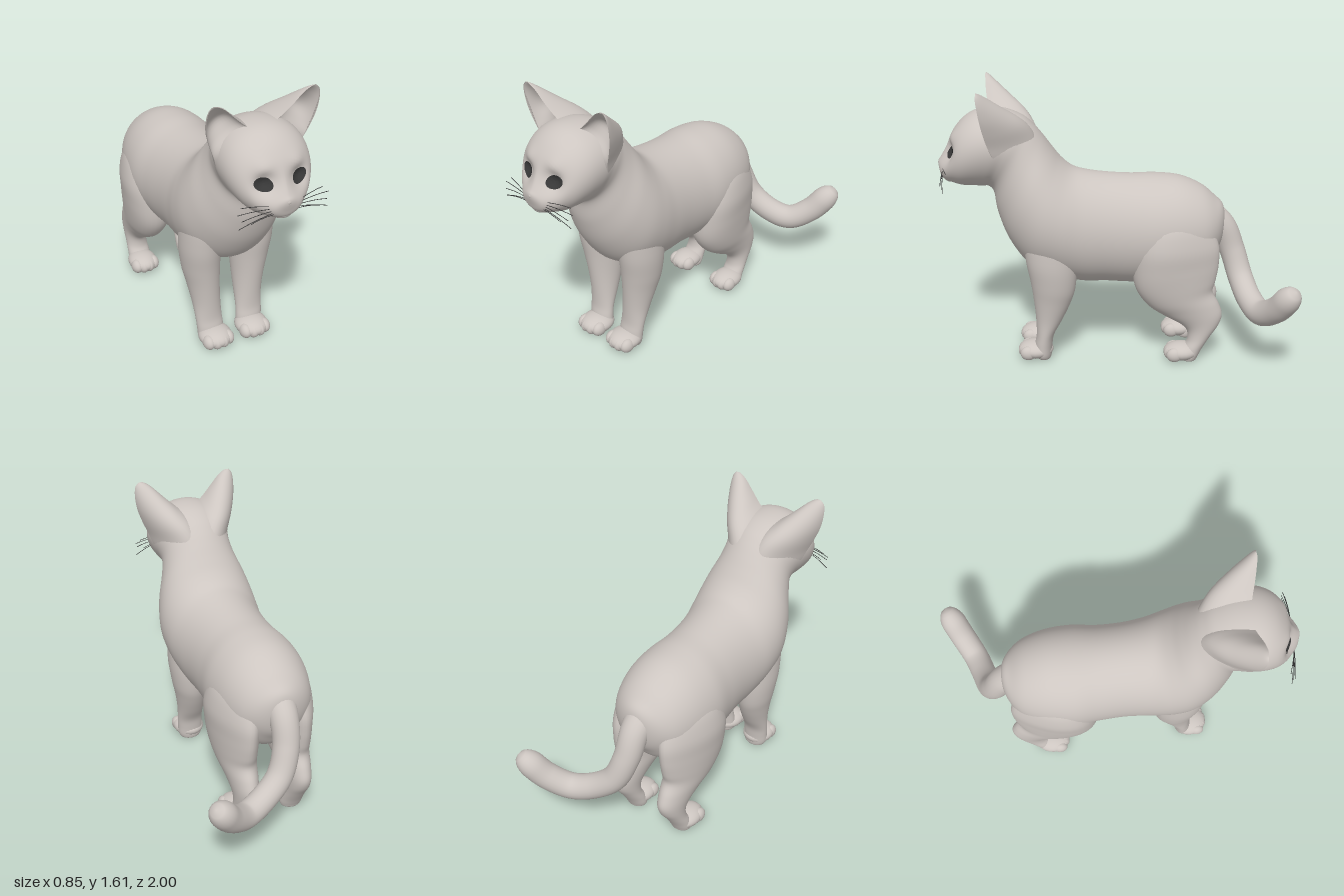
import * as THREE from 'three';
import { mergeVertices } from 'three/addons/utils/BufferGeometryUtils.js';

const fur = new THREE.MeshStandardMaterial({ color: 0xcdc6c1, side: THREE.DoubleSide });
fur.name = 'warm grey fur';
const dark = new THREE.MeshStandardMaterial({ color: 0x383838, side: THREE.DoubleSide });
dark.name = 'dark grey';

const HEAD_X = -0.1, CHEST_X = -0.113, HIP_X = -0.128;

// Smoothly resample rows of numbers, n steps between neighbours
function resample(rows, n) {
  const out = [], last = rows.length - 1;
  const at = (i) => rows[Math.min(last, Math.max(0, i))];
  for (let k = 0; k <= last * n; k++) {
    const i = Math.min(last - 1, Math.floor(k / n)), t = k / n - i;
    out.push(at(i).map((p1, c) => {
      const p0 = at(i - 1)[c], p2 = at(i + 1)[c], p3 = at(i + 2)[c];
      const m1 = (p2 - p0) / 2, m2 = (p3 - p1) / 2;
      return p1 + m1 * t + (3 * (p2 - p1) - 2 * m1 - m2) * t * t + (2 * (p1 - p2) + m1 + m2) * t * t * t;
    }));
  }
  return out;
}

// Skin a list of closed rings of points
function skin(rings) {
  const pos = [], idx = [], n = rings[0].length;
  rings.forEach((ring, i) => ring.forEach((p, j) => {
    pos.push(...p);
    if (i < rings.length - 1) {
      const a = i * n + j, b = i * n + (j + 1) % n;
      idx.push(a, b, a + n, b, b + n, a + n);
    }
  }));
  const geo = new THREE.BufferGeometry();
  geo.setAttribute('position', new THREE.Float32BufferAttribute(pos, 3));
  geo.setIndex(idx);
  geo.computeVertexNormals();
  return geo;
}

// Oval rings from rows [x, zA, yA, zB, yB, halfWidth, taper]; A and B are opposite ends, taper widens the A end
function loft(rows, steps = 5, seg = 48) {
  return skin(resample(rows, steps).map(([x, zA, yA, zB, yB, w, taper]) =>
    Array.from({ length: seg }, (_, j) => {
      const a = j / seg * Math.PI * 2, s = Math.sin(a);
      return [x + Math.cos(a) * Math.max(0, w) * (1 + taper * s),
        (yA + yB + s * (yA - yB)) / 2, (zA + zB + s * (zA - zB)) / 2];
    })));
}

export function createModel() {
  const cat = new THREE.Group();
  cat.name = 'cat';
  const add = (name, geo, mat = fur) => {
    const m = new THREE.Mesh(geo, mat);
    m.name = name;
    cat.add(m);
    return m;
  };
  const blob = (name, x, y, z, rx, ry, rz) => {
    const m = add(name, new THREE.SphereGeometry(1, 24, 16));
    m.position.set(x, y, z);
    m.scale.set(rx, ry, rz);
  };

  // Rump, torso, neck and head in one skin, rear to nose: [top z,y, bottom z,y, half width]
  const bodyGeo = loft([
    [-0.625, 0.80, -0.625, 0.80, 0],
    [-0.61, 0.90, -0.60, 0.68, 0.09],
    [-0.56, 0.955, -0.56, 0.61, 0.165],
    [-0.48, 1.02, -0.50, 0.53, 0.22],
    [-0.36, 1.07, -0.38, 0.48, 0.26],
    [-0.22, 1.085, -0.22, 0.45, 0.277],
    [-0.08, 1.085, -0.08, 0.445, 0.262],
    [0.06, 1.095, 0.06, 0.455, 0.258],
    [0.18, 1.113, 0.20, 0.46, 0.27],
    [0.25, 1.135, 0.36, 0.50, 0.288],
    [0.31, 1.185, 0.50, 0.57, 0.29],
    [0.36, 1.25, 0.61, 0.72, 0.265],
    [0.41, 1.32, 0.67, 0.88, 0.225],
    [0.46, 1.38, 0.69, 1.0, 0.205],
    [0.52, 1.43, 0.72, 1.035, 0.212],
    [0.62, 1.468, 0.75, 1.035, 0.226],
    [0.74, 1.472, 0.80, 1.04, 0.225],
    [0.83, 1.435, 0.86, 1.042, 0.204],
    [0.90, 1.36, 0.91, 1.055, 0.165],
    [0.945, 1.27, 0.945, 1.065, 0.118],
    [0.98, 1.205, 0.972, 1.085, 0.075],
    [0.995, 1.18, 0.985, 1.12, 0.035],
    [0.995, 1.155, 0.995, 1.155, 0],
  ].map((row) => [
    HIP_X + (HEAD_X - HIP_X) * THREE.MathUtils.smoothstep(row[0], -0.3, 0.5),
    ...row,
    0.14 * Math.exp(-(((row[0] - 0.58) / 0.2) ** 2)), // the skull is wider above than below
  ]), 6, 64);
  // Press in the eye sockets and raise the brows
  const p = bodyGeo.attributes.position;
  for (let i = 0; i < p.count; i++) {
    if (p.getZ(i) < 0.78) continue;
    const dx = Math.abs(p.getX(i) - HEAD_X) - 0.093, y = p.getY(i);
    const bump = (h, size) => Math.exp(-(dx * dx + (y - h) ** 2) / size);
    p.setZ(i, p.getZ(i) - 0.046 * bump(1.25, 0.0036) + 0.012 * bump(1.325, 0.002));
  }
  bodyGeo.computeVertexNormals();
  const body = add('body', bodyGeo);

  // Muzzle
  blob('nose', HEAD_X, 1.168, 0.973, 0.024, 0.02, 0.024);
  blob('chin', HEAD_X, 1.087, 0.928, 0.055, 0.032, 0.042);

  const ray = new THREE.Raycaster();
  for (const s of [1, -1]) {
    const side = s > 0 ? 'left' : 'right';
    const named = (part) => side + part;

    blob(named('WhiskerPad'), HEAD_X + s * 0.036, 1.127, 0.938, 0.05, 0.036, 0.042);

    // Eye: thin almond plate that follows the face
    const eye = new THREE.RingGeometry(0.001, 1, 28, 5);
    const e = eye.attributes.position;
    for (let i = 0; i < e.count; i++) {
      const u = e.getX(i), v = e.getY(i);
      const x = HEAD_X + s * 0.0985 + u * 0.045, y = 1.25 + v * 0.035 + s * u * 0.004;
      ray.set(new THREE.Vector3(x, y, 2), new THREE.Vector3(0, 0, -1));
      const hit = ray.intersectObject(body)[0];
      e.setXYZ(i, x, y, (hit ? hit.point.z : 0.89) + 0.006);
    }
    eye.computeVertexNormals();
    add(named('Eye'), eye, dark);

    // Whiskers: [tip offset, tip height, tip depth]
    [[0.225, 1.16, 0.925], [0.25, 1.135, 0.94], [0.235, 1.105, 0.955], [0.245, 1.058, 0.945], [0.19, 1.085, 0.965]]
      .forEach(([x, y, z], i) => {
        const root = new THREE.Vector3(HEAD_X + s * 0.06, 1.145 - i * 0.01, 0.965);
        const tip = new THREE.Vector3(HEAD_X + s * x, y, z);
        const mid = root.clone().lerp(tip, 0.5).add(new THREE.Vector3(0, 0.016, 0.006));
        add(named('Whisker'), new THREE.TubeGeometry(new THREE.QuadraticBezierCurve3(root, mid, tip), 10, 0.0017, 5), dark);
      });

    // Ear: rows [inner x,y,z, outer x,y,z, back bulge, front hollow], tucked into the cheek at the bottom
    add(named('Ear'), skin(resample([
      [0.0, 1.28, 0.66, 0.14, 1.12, 0.60, 0.18, 0.0],
      [0.02, 1.37, 0.69, 0.212, 1.225, 0.655, 0.235, -0.02],
      [0.06, 1.44, 0.71, 0.245, 1.31, 0.69, 0.235, 0.0],
      [0.115, 1.49, 0.722, 0.275, 1.385, 0.708, 0.2, 0.055],
      [0.165, 1.54, 0.732, 0.298, 1.46, 0.722, 0.135, 0.085],
      [0.212, 1.588, 0.738, 0.306, 1.535, 0.733, 0.068, 0.04],
      [0.25, 1.612, 0.742, 0.299, 1.59, 0.74, 0.026, 0.01],
      [0.278, 1.616, 0.738, 0.278, 1.616, 0.738, 0, 0],
    ], 5).map(([ix, iy, iz, ox, oy, oz, back, dish]) => Array.from({ length: 36 }, (_, j) => {
      const a = j / 36 * Math.PI * 2, c = Math.cos(a) / 2, sn = Math.sin(a), d = Math.abs(sn) * (sn > 0 ? back : dish);
      return [HEAD_X + s * ((ix + ox) / 2 + c * (ox - ix) - d * 0.22), (iy + oy) / 2 + c * (oy - iy), (iz + oz) / 2 + c * (oz - iz) - d];
    }))));

    // Legs: rows [side offset, front z,y, back z,y, half width, optional taper], top to bottom
    const leg = (name, cx, rows) =>
      add(name, loft(rows.map(([x, zA, yA, zB, yB, w, taper = 0]) => [cx + s * x, zA, yA, zB, yB, w, taper]), 5, 36));
    leg(named('FrontLeg'), CHEST_X, [
      [0.14, 0.40, 0.95, 0.36, 0.95, 0],
      [0.15, 0.52, 0.83, 0.24, 0.83, 0.092],
      [0.156, 0.515, 0.65, 0.225, 0.62, 0.108],
      [0.148, 0.49, 0.50, 0.235, 0.46, 0.102],
      [0.138, 0.475, 0.38, 0.265, 0.36, 0.09],
      [0.129, 0.466, 0.26, 0.315, 0.25, 0.08],
      [0.125, 0.465, 0.16, 0.362, 0.16, 0.077],
      [0.121, 0.475, 0.10, 0.375, 0.09, 0.077],
      [0.118, 0.48, 0.04, 0.38, 0.03, 0.074],
      [0.118, 0.46, 0.004, 0.39, 0.004, 0.05],
      [0.118, 0.42, 0.004, 0.42, 0.004, 0],
    ]);
    leg(named('HindLeg'), HIP_X, [
      [0.08, -0.28, 0.99, -0.36, 0.99, 0],
      [0.125, -0.15, 0.87, -0.50, 0.87, 0.115, 0.2],
      [0.15, -0.10, 0.72, -0.575, 0.72, 0.14, 0.32],
      [0.158, -0.09, 0.57, -0.58, 0.60, 0.128, 0.3],
      [0.16, -0.11, 0.45, -0.565, 0.50, 0.115, 0.2],
      [0.16, -0.18, 0.35, -0.55, 0.43, 0.10, 0.1],
      [0.16, -0.27, 0.285, -0.585, 0.36, 0.082],
      [0.16, -0.36, 0.235, -0.607, 0.29, 0.07],
      [0.16, -0.405, 0.19, -0.59, 0.225, 0.064],
      [0.16, -0.41, 0.13, -0.545, 0.155, 0.062],
      [0.16, -0.385, 0.08, -0.50, 0.08, 0.066],
      [0.16, -0.37, 0.03, -0.475, 0.03, 0.066],
      [0.16, -0.38, 0.004, -0.46, 0.004, 0.05],
      [0.16, -0.42, 0.004, -0.42, 0.004, 0],
    ]);

    // Paws with four soft toes each
    for (const [part, x, z, r] of [['Front', CHEST_X + s * 0.114, 0.472, 0.093], ['Hind', HIP_X + s * 0.167, -0.375, 0.084]]) {
      blob(named(part + 'Paw'), x, 0.057, z, r, 0.053, 0.102);
      for (const k of [-1.5, -0.5, 0.5, 1.5]) {
        blob(named(part + 'Toe'), x + k * r * 0.42, 0.052, z + 0.062 - Math.abs(k) * 0.014, 0.033, 0.042, 0.046);
      }
    }
  }

  // Tail: tube narrowed by rule, flared at the root and round at the tip
  const path = new THREE.CatmullRomCurve3([
    [-0.13, 0.88, -0.47], [-0.13, 0.775, -0.605], [-0.12, 0.63, -0.67], [-0.065, 0.48, -0.717], [0.05, 0.388, -0.76],
    [0.17, 0.357, -0.81], [0.28, 0.425, -0.88], [0.348, 0.513, -0.927], [0.397, 0.58, -0.96],
  ].map((q) => new THREE.Vector3(...q)));
  const rings = 70, sides = 24;
  let tail = new THREE.TubeGeometry(path, rings, 1, sides);
  const tp = tail.attributes.position, v = new THREE.Vector3();
  for (let i = 0; i < tp.count; i++) {
    const t = Math.floor(i / (sides + 1)) / rings, c = path.getPointAt(t);
    const tip = t > 0.9 ? Math.sqrt(Math.max(0, 1 - ((t - 0.9) / 0.1) ** 2)) : 1;
    const r = (0.066 + 0.035 * Math.exp(-t * 7) + 0.009 * t) * tip;
    v.fromBufferAttribute(tp, i).sub(c).multiplyScalar(r).add(c);
    tp.setXYZ(i, v.x, v.y, v.z);
  }
  tail.deleteAttribute('uv');
  tail.deleteAttribute('normal');
  tail = mergeVertices(tail, 1e-5);
  tail.computeVertexNormals();
  add('tail', tail);

  return cat;
}
